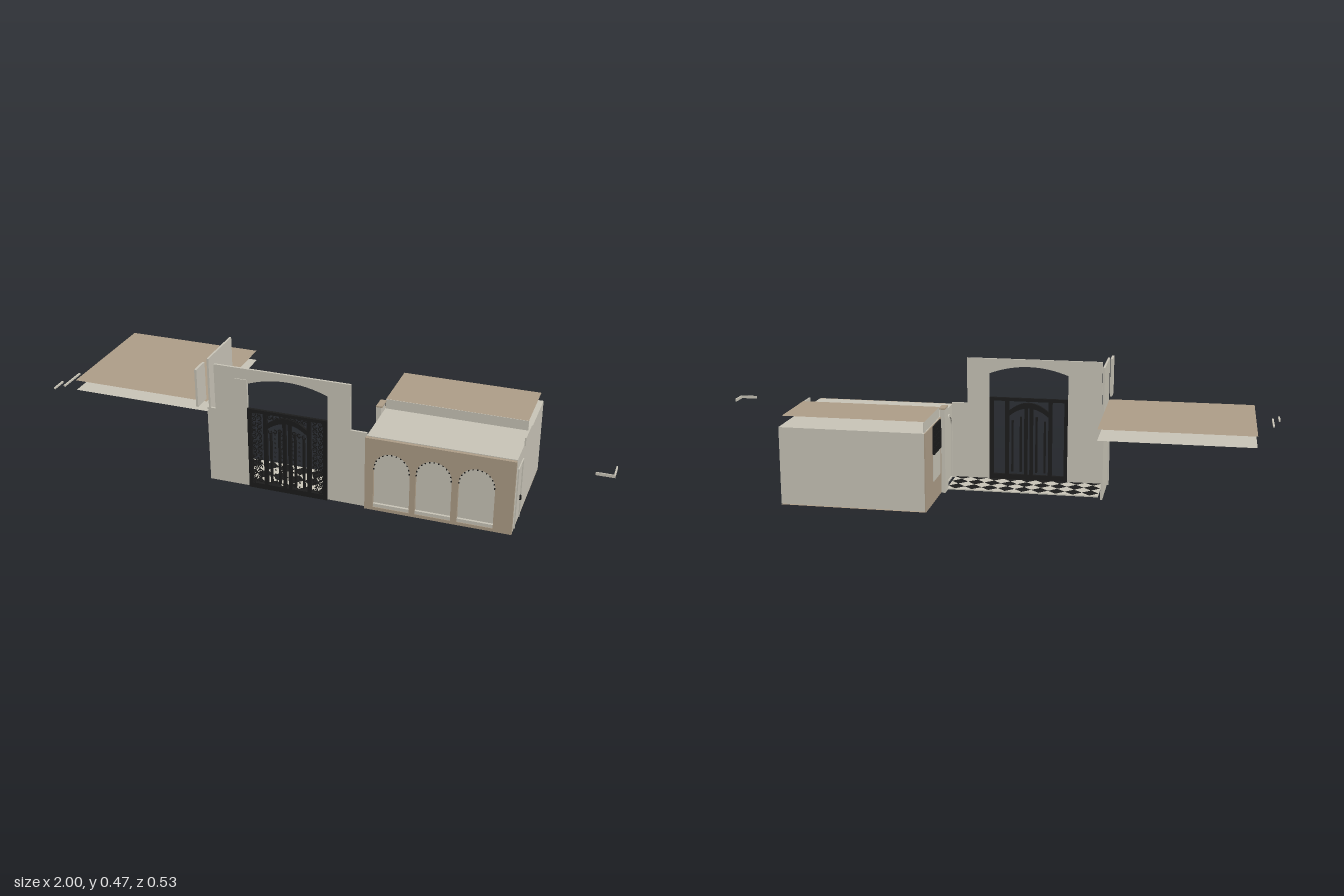
import * as THREE from 'three';

const mat = (name, color, double) => {
  const m = new THREE.MeshStandardMaterial({ color });
  m.name = name;
  if (double) m.side = THREE.DoubleSide;
  return m;
};

export function createModel() {
  const root = new THREE.Group();
  root.name = 'courtyardHouse';
  const beige = mat('beigePlaster', 0xc9c5b8, true);
  const tan = mat('tanStone', 0xae9e88, true);
  const black = mat('blackIron', 0x1c1c1c);
  const grey = mat('greyUnderside', 0x949494);

  const add = (name, geo, m, parent = root) => {
    const mesh = new THREE.Mesh(geo, m);
    mesh.name = name;
    parent.add(mesh);
    return mesh;
  };
  // Box given by its minimum and maximum on each axis
  const box = (name, m, x0, x1, y0, y1, z0, z1, parent) => {
    const g = new THREE.BoxGeometry(x1 - x0, y1 - y0, z1 - z0);
    g.translate((x0 + x1) / 2, (y0 + y1) / 2, (z0 + z1) / 2);
    return add(name, g, m, parent);
  };
  // Horizontal sheet without thickness
  const sheet = (name, m, x0, x1, y, z0, z1, faceDown) => {
    const g = new THREE.PlaneGeometry(x1 - x0, z1 - z0);
    g.rotateX(faceDown ? Math.PI / 2 : -Math.PI / 2);
    g.translate((x0 + x1) / 2, y, (z0 + z1) / 2);
    return add(name, g, m);
  };
  const extrude = (shape, depth, z) => {
    const g = new THREE.ExtrudeGeometry(shape, { depth, bevelEnabled: false, curveSegments: 16 });
    return g.translate(0, 0, z);
  };
  // Round-headed outline, usable as shape or hole
  const arch = (Type, x0, x1, y0, top) => {
    const r = (x1 - x0) / 2, p = new Type();
    p.moveTo(x0, y0);
    p.lineTo(x1, y0);
    p.lineTo(x1, top - r);
    p.absarc(x0 + r, top - r, r, 0, Math.PI, false);
    p.lineTo(x0, y0);
    return p;
  };

  // House body and floor
  box('houseWalls', beige, 0.18, 0.69, 0.005, 0.278, -0.264, 0.186);
  sheet('houseFloor', tan, 0.18, 0.69, 0.002, -0.264, 0.198);

  // Raised roof with risers on two sides only
  sheet('upperRoof', tan, 0.182, 0.682, 0.315, -0.25, -0.025);
  box('roofRiserFront', beige, 0.182, 0.682, 0.278, 0.314, -0.03, -0.025);
  box('roofRiserSide', beige, 0.182, 0.186, 0.278, 0.314, -0.25, -0.03);
  box('roofEdgePlate', beige, 0.69, 0.695, 0.275, 0.305, -0.022, 0.08);

  // Arcade front
  const arcade = new THREE.Shape();
  arcade.moveTo(0.178, 0);
  arcade.lineTo(0.69, 0);
  arcade.lineTo(0.69, 0.276);
  arcade.lineTo(0.178, 0.276);
  const bays = [[0.208, 0.336], [0.356, 0.48], [0.502, 0.626]];
  bays.forEach(([a, b]) => arcade.holes.push(arch(THREE.Path, a, b, 0.012, 0.226)));
  add('arcadeFront', extrude(arcade, 0.012, 0.187), tan);
  bays.forEach(([a, b]) => {
    box('archSill', beige, a, b, 0.012, 0.024, 0.187, 0.196);
    // small studs around each arch head
    for (let i = 0; i <= 12; i++) {
      const t = (i / 12) * Math.PI, r = (b - a) / 2 - 0.002;
      const x = (a + b) / 2 + Math.cos(t) * r, y = 0.226 - (b - a) / 2 + Math.sin(t) * r;
      box('archStud', black, x - 0.002, x + 0.002, y - 0.002, y + 0.002, 0.196, 0.2);
    }
  });

  // Side doors, facing +x
  const sideDoor = (x) => {
    const door = new THREE.Group();
    door.name = 'sideDoor';
    root.add(door);
    box('doorJamb', beige, x, x + 0.004, 0.005, 0.232, 0.083, 0.087, door);
    box('doorJamb', beige, x, x + 0.004, 0.005, 0.232, 0.16, 0.164, door);
    box('doorHead', beige, x, x + 0.004, 0.228, 0.232, 0.087, 0.16, door);
    box('doorHandle', black, x, x + 0.006, 0.077, 0.094, 0.089, 0.095, door);
  };
  sideDoor(0.69);
  sideDoor(-0.39);

  // Courtyard side of the house
  box('courtSideWall', tan, 0.176, 0.18, 0.002, 0.278, -0.264, -0.025);
  box('windowApron', beige, 0.173, 0.176, 0.08, 0.175, -0.155, -0.05);
  for (let i = 0; i <= 5; i++) {
    const z = -0.155 + i * 0.021, y = 0.178 + i * 0.019;
    box('windowBarUpright', black, 0.17, 0.176, 0.178, 0.276, z - 0.003, z + 0.003);
    box('windowBarLevel', black, 0.17, 0.176, y - 0.003, y + 0.003, -0.155, -0.05);
  }
  box('courtPier', beige, 0.162, 0.18, 0, 0.305, -0.025, 0.028);
  box('courtPierCap', tan, 0.162, 0.184, 0.305, 0.31, -0.025, 0.028);
  const sideArch = arch(THREE.Shape, 0.065, 0.165, 0.005, 0.255);
  sideArch.holes.push(arch(THREE.Path, 0.075, 0.155, 0.01, 0.245));
  add('courtArch', extrude(sideArch, 0.005, 0).rotateY(-Math.PI / 2), beige).position.x = 0.18;

  // Gate wall with the arched opening
  const wall = new THREE.Shape();
  [[-0.403, 0], [-0.25, 0], [-0.25, 0.4]].forEach(([x, y], i) => (i ? wall.lineTo(x, y) : wall.moveTo(x, y)));
  wall.quadraticCurveTo(-0.105, 0.456, 0.04, 0.4);
  [[0.04, 0], [0.18, 0], [0.18, 0.286], [0.122, 0.286], [0.122, 0.455], [-0.372, 0.455], [-0.372, 0.286], [-0.403, 0.286]]
    .forEach(([x, y]) => wall.lineTo(x, y));
  add('gateWall', extrude(wall, 0.008, 0.177), beige);
  box('gateWallPlate', beige, -0.295, -0.25, 0.29, 0.415, 0.185, 0.188);

  // Left wall and floating panel
  box('leftWall', beige, -0.397, -0.39, 0, 0.472, -0.01, 0.185);
  box('leftPanel', beige, -0.406, -0.398, 0.326, 0.465, 0.199, 0.265);

  // Iron gate: solid bars
  const gate = new THREE.Group();
  gate.name = 'ironGate';
  root.add(gate);
  const cx = -0.105;
  [-1, 1].forEach((s) => {
    const bar = (d, w, y0, y1) =>
      box('gateBar', black, cx + s * d - w / 2, cx + s * d + w / 2, y0, y1, 0.183, 0.193, gate);
    bar(0.138, 0.014, 0, 0.31);
    bar(0.08, 0.014, 0, 0.31);
    bar(0.01, 0.012, 0, 0.275);
    bar(0.06, 0.007, 0.03, 0.225);
    bar(0.029, 0.007, 0.03, 0.24);
  });
  box('gateBottomRail', black, -0.25, 0.04, 0, 0.02, 0.183, 0.193, gate);
  box('gateTopRail', black, -0.25, 0.04, 0.298, 0.31, 0.183, 0.193, gate);
  const bow = new THREE.Shape();
  bow.moveTo(-0.185, 0.235);
  bow.quadraticCurveTo(cx, 0.31, -0.025, 0.235);
  bow.lineTo(-0.025, 0.255);
  bow.quadraticCurveTo(cx, 0.33, -0.185, 0.255);
  add('gateBow', extrude(bow, 0.01, 0.183), black, gate);

  // Iron gate: scrollwork, seen from the front only
  const scroll = (x, y, r) => {
    const g = new THREE.RingGeometry(r * 0.52, r, 10, 1, (x * 40 + y * 90) % 6, 5.2);
    add('gateScroll', g.translate(x, y, 0.191), black, gate);
    add('gateScrollBud', new THREE.CircleGeometry(r * 0.28, 6).translate(x, y, 0.191), black, gate);
  };
  [-1, 1].forEach((s) => {
    for (let i = 0; i < 16; i++) {
      const y = 0.029 + i * 0.0175;
      scroll(cx + s * 0.122, y, 0.0098);
      scroll(cx + s * 0.102, y + 0.006, 0.0098);
      if (i < 12) scroll(cx + s * 0.0445, y + 0.004, 0.004);
      if (i < 12) scroll(cx + s * 0.0205, y + 0.004, 0.0045);
    }
    for (let i = 0; i < 4; i++) scroll(cx + s * (0.01 + i * 0.018), 0.288, 0.0095);
    for (let i = 0; i < 3; i++) scroll(cx + s * (0.026 + i * 0.018), 0.24 - i * 0.004, 0.0085);
  });

  // Tiled courtyard floor
  const p = 0.0606, fx = -0.38, fz = 0.012;
  box('courtFloor', beige, fx, fx + 9 * p, 0.002, 0.006, fz, fz + 2.5 * p);
  sheet('courtFloorUnderside', grey, fx, fx + 9 * p, 0.001, fz, fz + 2.5 * p, true);
  for (let i = 0; i < 9; i++) {
    for (let j = 0; j < 3; j++) {
      const h = p / 2, tile = new THREE.Shape();
      tile.moveTo(-h, 0);
      if (j < 2) tile.lineTo(0, -h);
      tile.lineTo(h, 0);
      tile.lineTo(0, h);
      const g = new THREE.ShapeGeometry(tile).rotateX(-Math.PI / 2);
      add('darkTile', g.translate(fx + (i + 0.5) * p, 0.0075, fz + (j + 0.5) * p), black);
    }
  }

  // Detached double roof sheet on the left
  sheet('detachedRoofTop', tan, -0.91, -0.397, 0.316, -0.25, 0.2);
  sheet('detachedRoofCeiling', beige, -0.91, -0.397, 0.278, -0.25, 0.2);

  // Loose trim strips at both ends
  box('looseTrimFront', beige, 0.938, 1, 0.268, 0.278, 0.178, 0.182);
  box('looseTrimSide', beige, 0.995, 1, 0.268, 0.278, 0.12, 0.18);
  box('looseStripOuter', beige, -1, -0.994, 0.27, 0.276, 0.15, 0.208);
  box('looseStripInner', beige, -0.977, -0.971, 0.27, 0.276, 0.068, 0.178);

  return root;
}
